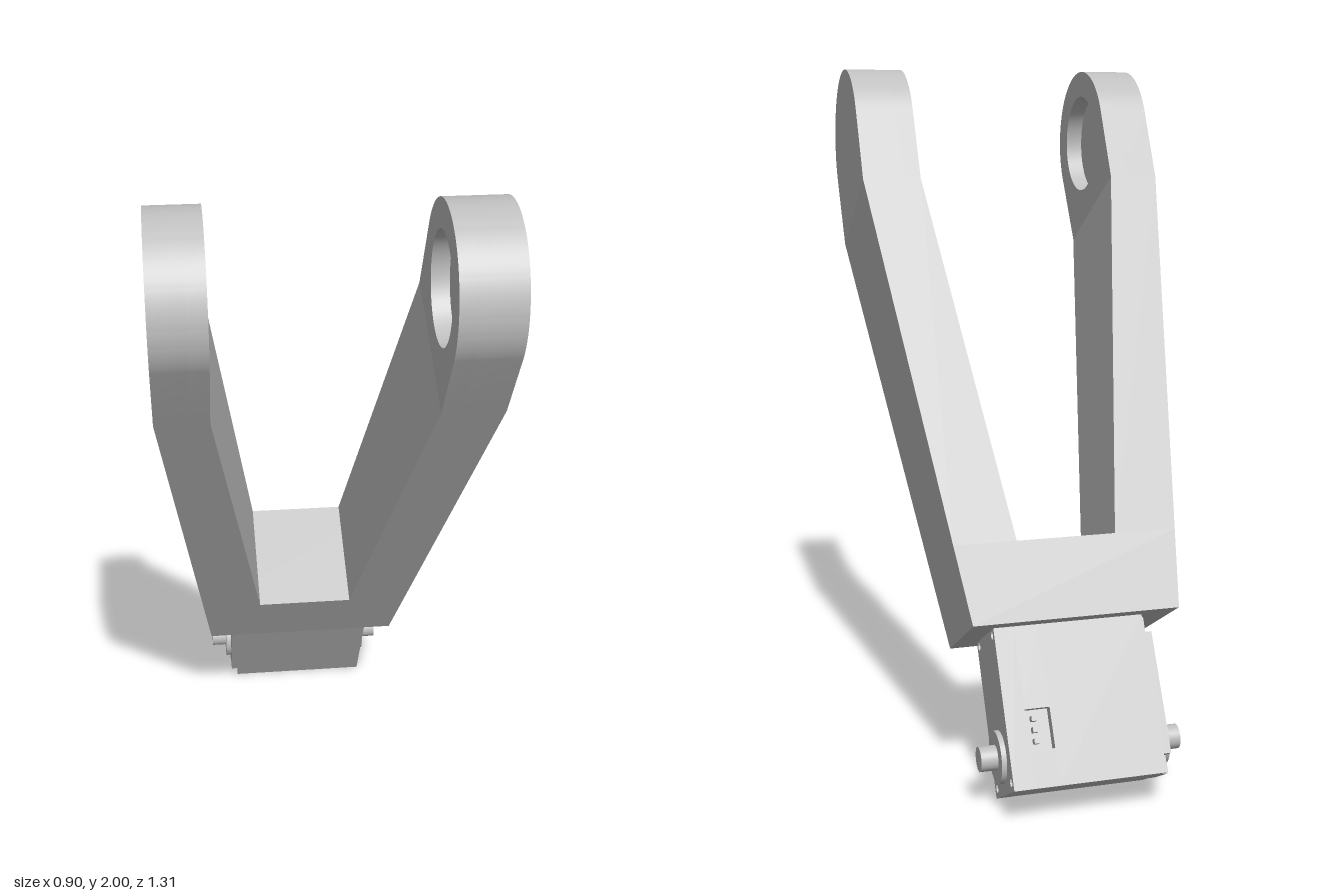
import * as THREE from 'three';
import { toCreasedNormals } from 'three/addons/utils/BufferGeometryUtils.js';

export function createModel() {
  const model = new THREE.Group();
  model.name = 'servoFork';
  const grey = new THREE.MeshStandardMaterial({ color: 0xbfbfbf });
  grey.name = 'plainGrey';

  // Everything is built upright along y, then leaned forward by 30 degrees.
  const lean = new THREE.Group();
  lean.name = 'leaningAssembly';
  lean.rotation.x = Math.PI / 6;
  lean.position.set(0, 0.4325, -0.3425);
  model.add(lean);

  const add = (name, geometry) => {
    const mesh = new THREE.Mesh(geometry, grey);
    mesh.name = name;
    lean.add(mesh);
    return mesh;
  };

  // Side outline (shape x = -z, shape y = y) extruded from x0 to x1.
  const slab = (name, shape, x0, x1) => {
    const g = new THREE.ExtrudeGeometry(shape, { depth: x1 - x0, bevelEnabled: false, curveSegments: 40 });
    g.rotateY(Math.PI / 2).translate(x0, 0, 0);
    return add(name, toCreasedNormals(g, 0.5));
  };
  const polygon = (points) => new THREE.Shape(points.map(([x, y]) => new THREE.Vector2(x, y)));
  const circle = (x, y, r) => new THREE.Path().absarc(x, y, r, 0, Math.PI * 2, true);

  // Six-sided block between two rectangular sections [y, x0, x1, half depth].
  const block = (name, a, b) => {
    const corners = [];
    for (const [y, x0, x1, w] of [a, b]) corners.push([x0, y, w], [x1, y, w], [x1, y, -w], [x0, y, -w]);
    const quads = [[3, 2, 1, 0], [4, 5, 6, 7]];
    for (let i = 0; i < 4; i++) quads.push([i, (i + 1) % 4, 4 + (i + 1) % 4, 4 + i]);
    const pos = [];
    for (const [p, q, r, s] of quads) for (const k of [p, q, r, p, r, s]) pos.push(...corners[k]);
    const g = new THREE.BufferGeometry();
    g.setAttribute('position', new THREE.Float32BufferAttribute(pos, 3));
    g.computeVertexNormals();
    return add(name, g);
  };

  // Fork
  const taper = 0.0388, floorY = 0.223, bendY = 1.315, headY = 1.549, headR = 0.225;
  const halfDepth = (y) => 0.165 + taper * y;
  const t = floorY / bendY;
  const outerRight = -0.31 - 0.14 * t, outerLeft = 0.28 + 0.17 * t;
  block('forkBase', [0, -0.31, 0.28, halfDepth(0)], [floorY, outerRight, outerLeft, halfDepth(floorY)]);
  block('rightArm', [floorY, outerRight, -0.155, halfDepth(floorY)], [bendY, -0.45, -0.307, halfDepth(bendY)]);
  block('leftArm', [floorY, 0.13, outerLeft, halfDepth(floorY)], [bendY, 0.28, 0.45, halfDepth(bendY)]);

  // Rounded arm heads, each with a round blind pocket on the inner face
  const headShape = () => {
    const s = new THREE.Shape();
    s.moveTo(-halfDepth(bendY), bendY);
    s.lineTo(halfDepth(bendY), bendY);
    s.absarc(0, headY, headR, -taper, Math.PI + taper, false);
    s.closePath();
    return s;
  };
  const pocketed = headShape();
  pocketed.holes.push(circle(0, headY, 0.148));
  const pocket = 0.05;
  slab('rightHeadOuter', headShape(), -0.45, -0.307 - pocket);
  slab('rightHeadInner', pocketed, -0.307 - pocket, -0.307);
  slab('leftHeadInner', pocketed, 0.28, 0.28 + pocket);
  slab('leftHeadOuter', headShape(), 0.28 + pocket, 0.45);

  // Servo body: screw holes run through it, one slice is notched for the socket
  const w = 0.109, low = -0.435;
  const holes = [[-1, -0.41], [1, -0.41], [-1, -0.015], [1, -0.015]];
  const servoShape = (points) => {
    const s = polygon(points);
    for (const [side, y] of holes) s.holes.push(circle(side * 0.085, y, 0.012));
    return s;
  };
  const plain = servoShape([[-w, low], [w, low], [w, 0], [-w, 0]]);
  const notched = servoShape([[-w, low], [w, low], [w, -0.336], [w - 0.03, -0.336],
    [w - 0.03, -0.226], [w, -0.226], [w, 0], [-w, 0]]);
  // keep the notch clear of the screw holes
  slab('servoBodyRight', plain, -0.217, 0.085);
  slab('servoBodySocket', notched, 0.085, 0.155);
  slab('servoBodyLeft', plain, 0.155, 0.212);

  // Side cover with cut-out corners
  const c = 0.05;
  slab('servoSideCover', polygon([[-w + c, low], [w - c, low], [w - c, low + c], [w, low + c],
    [w, -c], [w - c, -c], [w - c, 0], [-w + c, 0], [-w + c, -c], [-w, -c],
    [-w, low + c], [-w + c, low + c]]), -0.238, -0.217);

  // Socket pins
  for (let i = 0; i < 3; i++) {
    const pin = add('socketPin', new THREE.BoxGeometry(0.014, 0.014, 0.022));
    pin.position.set(0.13, -0.311 + i * 0.03, -w + 0.019);
  }

  // Axle bosses and stubs on both sides
  const disc = (name, r, x0, x1) => {
    const g = new THREE.CylinderGeometry(r, r, x1 - x0, 40).rotateZ(Math.PI / 2);
    add(name, g).position.set((x0 + x1) / 2, -0.333, 0);
  };
  disc('leftBoss', 0.072, 0.2, 0.226);
  disc('leftAxle', 0.034, 0.2, 0.273);
  disc('rightBoss', 0.072, -0.254, -0.22);
  disc('rightAxle', 0.034, -0.3, -0.22);

  return model;
}
